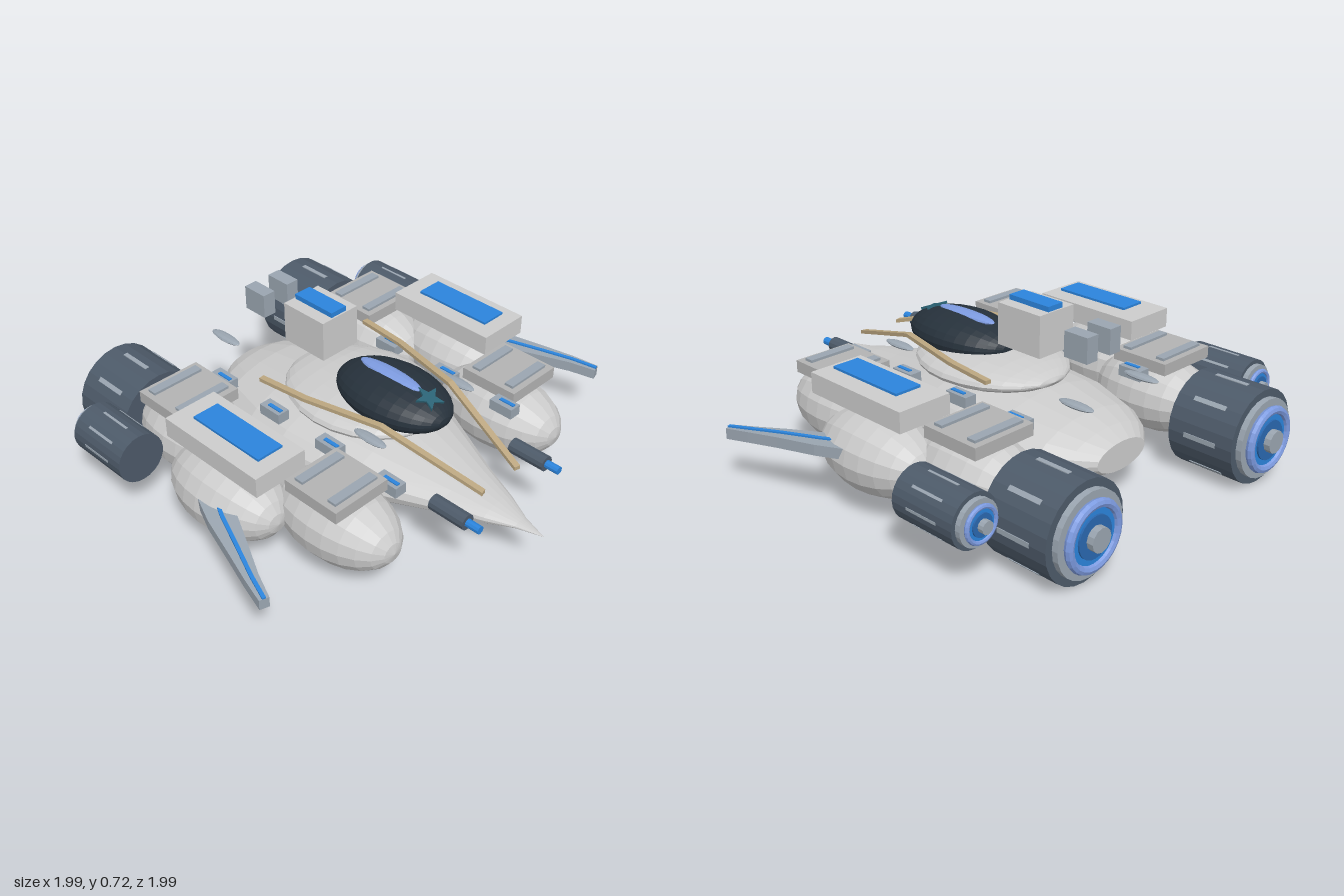
import * as THREE from 'three';

const mat = (color) => new THREE.MeshStandardMaterial({ color, flatShading: true });
const GREY = mat(0xcccccc), PANEL = mat(0xb2b2b2), STEEL = mat(0x9aa5b0), SLATE = mat(0x4d5a69),
  BLUE = mat(0x2b84dc), DEEP = mat(0x2a68b0), PERI = mat(0x7d9be0), DARK = mat(0x26313b),
  TEAL = mat(0x2a6274), TAN = mat(0xbba680);

export function createModel() {
  const model = new THREE.Group();

  const add = (name, geo, material, x = 0, y = 0, z = 0) => {
    const m = new THREE.Mesh(geo, material);
    m.name = name;
    m.position.set(x, y, z);
    model.add(m);
    return m;
  };
  const box = (name, material, x, y, z, w, h, d) =>
    add(name, new THREE.BoxGeometry(w, h, d), material, x, y, z);
  const ball = (name, material, x, y, z, rx, ry, rz, seg = 16, rows = 12) =>
    add(name, new THREE.SphereGeometry(1, seg, rows).rotateX(Math.PI / 2).scale(rx, ry, rz), material, x, y, z);
  // Cylinder lying along z between two stations
  const tube = (name, material, x, y, z0, z1, r, seg = 24) =>
    add(name, new THREE.CylinderGeometry(r, r, Math.abs(z1 - z0), seg).rotateX(Math.PI / 2), material, x, y, (z0 + z1) / 2);

  // Bar of rectangular section swept through points [x, y, z, width]
  const sweep = (name, material, pts, height, s) => {
    const pos = [], idx = [], n = pts.length;
    pts.forEach(([x, y, z, w], i) => {
      const a = pts[Math.max(i - 1, 0)], b = pts[Math.min(i + 1, n - 1)];
      const dx = s * (b[0] - a[0]), dz = b[2] - a[2], l = Math.hypot(dx, dz);
      const sx = (dz / l) * w / 2, sz = (-dx / l) * w / 2, h = height / 2;
      for (const [u, v] of [[1, -h], [1, h], [-1, h], [-1, -h]]) pos.push(s * x + u * sx, y + v, z + u * sz);
    });
    for (let i = 0; i < n - 1; i++) {
      for (let k = 0; k < 4; k++) {
        const a = i * 4 + k, b = i * 4 + (k + 1) % 4;
        idx.push(a, a + 4, b, b, a + 4, b + 4);
      }
    }
    const e = (n - 1) * 4;
    idx.push(0, 1, 2, 0, 2, 3, e, e + 2, e + 1, e, e + 3, e + 2);
    // Orient all faces outward
    for (let i = 0; i < idx.length; i += 3) [idx[i + 1], idx[i + 2]] = [idx[i + 2], idx[i + 1]];
    const [p, q, r] = [0, 1, 2].map((k) => new THREE.Vector3().fromArray(pos, idx[k] * 3));
    const outward = new THREE.Vector3(...pos.slice(0, 3)).sub(new THREE.Vector3(...pos.slice(9, 12)));
    if (q.sub(p).cross(r.sub(p)).dot(outward) < 0) idx.reverse();
    const g = new THREE.BufferGeometry();
    g.setAttribute('position', new THREE.Float32BufferAttribute(pos, 3));
    g.setIndex(idx);
    g.computeVertexNormals();
    add(name, g, material);
  };

  // Rocket engine with rear nozzle rings and slits around the casing
  const engine = (name, x, y, r, z0, z1, end) => {
    const d = (end - z1) / 3;
    tube(name + 'Casing', SLATE, x, y, z0, z1, r);
    tube(name + 'Rim', STEEL, x, y, z1, z1 + d, r * 0.84);
    add(name + 'Ring', new THREE.TorusGeometry(r * 0.62, r * 0.09, 8, 24), PERI, x, y, z1 + d * 1.5);
    tube(name + 'Nozzle', BLUE, x, y, z1 + d, z1 + d * 1.6, r * 0.58);
    tube(name + 'NozzleRing', DEEP, x, y, z1 + d, z1 + d * 1.9, r * 0.42);
    tube(name + 'Hub', STEEL, x, y, z1 + d, end, r * 0.24, 12);
    const len = (z0 - z1) * 0.5;
    for (let i = 0; i < 8; i++) {
      const a = (i * Math.PI) / 4;
      const slit = box(name + 'Slit', STEEL, x + Math.sin(a) * r * 0.99, y + Math.cos(a) * r * 0.99,
        (z0 + z1) / 2, r * 0.1, r * 0.04, len);
      slit.rotation.z = -a;
    }
  };

  // Hull: flattened lathe with a needle nose
  const hull = [[0, -0.65], [0.14, -0.65], [0.225, -0.58], [0.295, -0.48], [0.37, -0.27], [0.39, -0.07],
    [0.365, 0.12], [0.31, 0.28], [0.245, 0.42], [0.155, 0.61], [0.09, 0.77], [0.035, 0.88], [0, 0.99]]
    .map(([r, z]) => new THREE.Vector2(r, z));
  add('hull', new THREE.LatheGeometry(hull, 20).rotateX(Math.PI / 2).scale(1, 0.43, 1), GREY, 0, 0.205, 0);

  // Cockpit
  ball('cockpitBase', GREY, 0, 0.4, 0.05, 0.285, 0.065, 0.35, 24, 12);
  ball('canopy', DARK, 0, 0.47, 0.22, 0.175, 0.096, 0.272, 24, 16);
  ball('canopyGlint', PERI, 0, 0.555, 0.2, 0.038, 0.018, 0.16, 12, 10);
  const star = new THREE.Shape();
  for (let i = 0; i < 10; i++) {
    const a = (i * Math.PI) / 5 + Math.PI / 2, r = i % 2 ? 0.026 : 0.06;
    star[i ? 'lineTo' : 'moveTo'](Math.cos(a) * r, Math.sin(a) * r);
  }
  const emblem = add('canopyStar', new THREE.ExtrudeGeometry(star, { depth: 0.012, bevelEnabled: false }),
    TEAL, 0, 0.535, 0.4);
  emblem.rotation.x = -Math.PI / 2 + 0.34;

  // Dorsal module
  box('dorsalBox', GREY, 0, 0.615, -0.192, 0.19, 0.175, 0.225);
  box('dorsalPanel', BLUE, 0, 0.713, -0.192, 0.08, 0.022, 0.21);

  for (const s of [1, -1]) {
    box('rearBlock', STEEL, s * 0.065, 0.627, -0.487, 0.06, 0.105, 0.115);

    // Side pods
    ball('frontPod', GREY, s * 0.48, 0.235, 0.39, 0.177, 0.16, 0.29);
    ball('middlePod', GREY, s * 0.665, 0.235, -0.02, 0.177, 0.16, 0.285);
    ball('rearPod', GREY, s * 0.52, 0.235, -0.4, 0.177, 0.16, 0.28);

    // Ribbed decks on the front and rear pods
    for (const [x, z, w] of [[0.5, 0.4, 0.265], [0.525, -0.415, 0.29]]) {
      box('podDeck', PANEL, s * x, 0.41, z, w, 0.05, 0.265);
      for (const d of [-0.085, 0.085]) box('deckRib', STEEL, s * x, 0.438, z + d, w - 0.05, 0.016, 0.04);
    }

    // Top box on the middle pod
    box('middleBox', GREY, s * 0.64, 0.462, 0, 0.24, 0.085, 0.515);
    box('middlePanel', BLUE, s * 0.637, 0.522, 0.018, 0.118, 0.01, 0.365);

    // Clips between the hull and pods
    for (const z of [-0.425, -0.117, 0.2, 0.515]) {
      box('hullClip', STEEL, s * 0.335, 0.383, z, 0.055, 0.045, 0.11);
      box('clipLight', BLUE, s * 0.338, 0.404, z + 0.01, 0.016, 0.012, 0.07);
    }

    // Small floating vanes
    ball('frontVane', STEEL, s * 0.255, 0.452, 0.335, 0.026, 0.012, 0.082, 10, 8);
    ball('rearVane', STEEL, s * 0.188, 0.452, -0.58, 0.026, 0.012, 0.084, 10, 8);

    // Rails beside the cockpit
    sweep('rail', TAN, [[0.298, 0.47, -0.23, 0.026], [0.275, 0.475, 0, 0.026], [0.2, 0.48, 0.34, 0.026],
      [0.1, 0.35, 0.77, 0.026]], 0.016, s);

    // Nose guns
    tube('gunBody', SLATE, s * 0.235, 0.315, 0.645, 0.81, 0.033, 12);
    tube('gunBarrel', BLUE, s * 0.235, 0.315, 0.8, 0.87, 0.017, 10);

    // Curved wings with a light strip
    const wing = [[0.76, 0.275, 0, 0.13], [0.825, 0.268, 0.13, 0.11], [0.888, 0.258, 0.29, 0.08],
      [0.94, 0.247, 0.42, 0.055], [0.974, 0.235, 0.525, 0.04]];
    sweep('wing', STEEL, wing, 0.045, s);
    sweep('wingLight', BLUE, wing.map(([x, y, z]) => [x, y + 0.023, z, 0.015]), 0.012, s);

    // Engines
    engine('mainEngine', s * 0.52, 0.2, 0.198, -0.625, -0.925, -1);
    engine('outerEngine', s * 0.807, 0.263, 0.107, -0.385, -0.685, -0.75);
  }
  return model;
}
